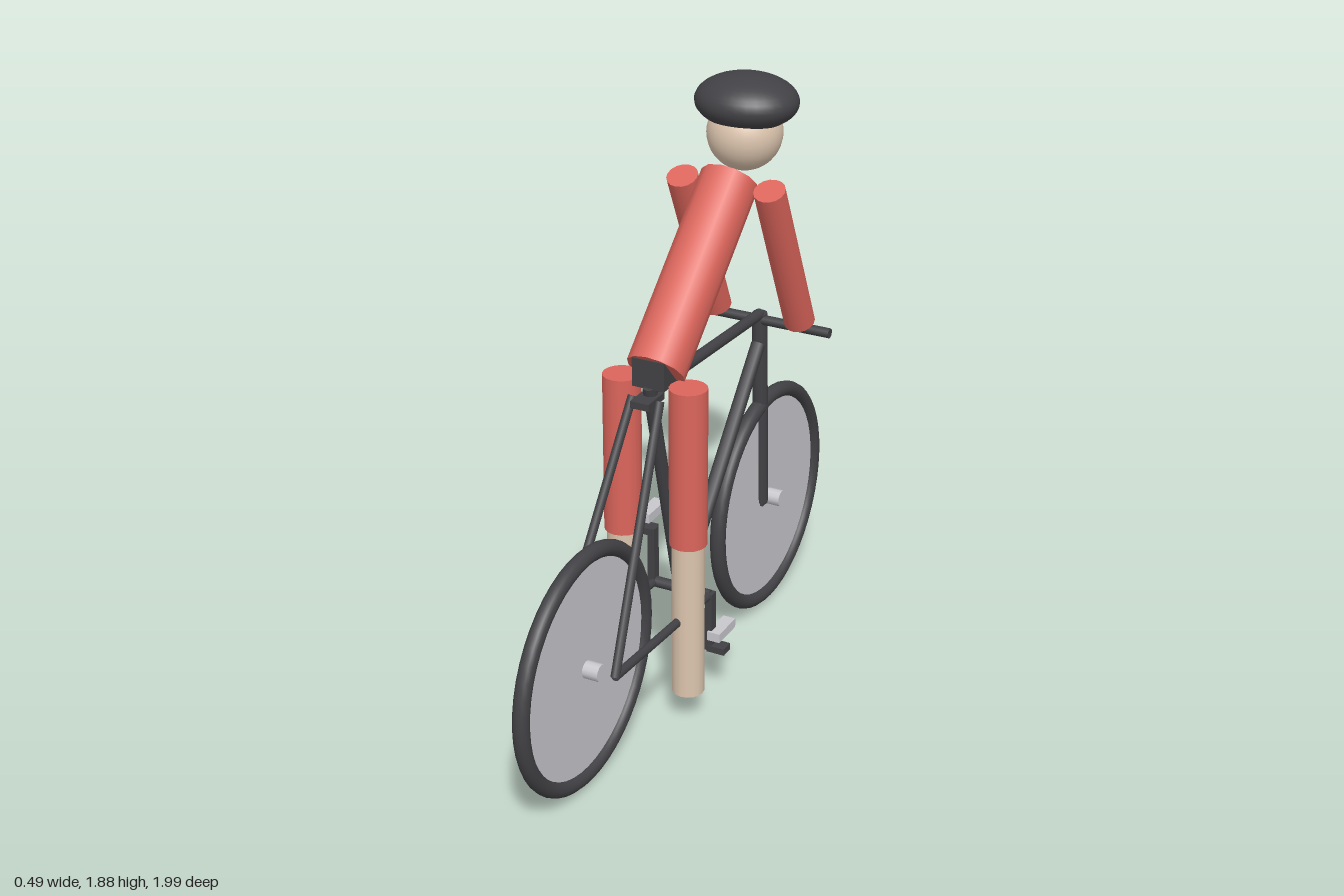
import * as THREE from 'three';

export function createModel() {
  const model = new THREE.Group();
  model.name = 'cyclist';

  const mat = (name, color) => {
    const m = new THREE.MeshStandardMaterial({ color });
    m.name = name;
    return m;
  };
  const dark = mat('dark grey', 0x424246);
  const silver = mat('light grey', 0xc8c7cc);
  const red = mat('jersey red', 0xdb655b);
  const skin = mat('skin', 0xdcc5ae);

  const add = (name, geometry, material, x = 0, y = 0, z = 0) => {
    const mesh = new THREE.Mesh(geometry, material);
    mesh.name = name;
    mesh.position.set(x, y, z);
    model.add(mesh);
    return mesh;
  };
  const box = (name, material, w, h, d, x, y, z) =>
    add(name, new THREE.BoxGeometry(w, h, d), material, x, y, z);

  // Straight rod between two [x, y, z] points
  const rod = (name, material, a, b, r, sides = 10) => {
    const from = new THREE.Vector3(...a);
    const dir = new THREE.Vector3(...b).sub(from);
    const mesh = add(name, new THREE.CylinderGeometry(r, r, dir.length(), sides), material);
    mesh.position.copy(from).addScaledVector(dir, 0.5);
    mesh.quaternion.setFromUnitVectors(new THREE.Vector3(0, 1, 0), dir.normalize());
    return mesh;
  };

  // Wheels: tyre, solid disc and hub
  for (const [end, z] of [['front', -0.61], ['rear', 0.61]]) {
    add(end + 'Tyre', new THREE.TorusGeometry(0.36, 0.025, 12, 48), dark, 0, 0.387, z).rotation.y = Math.PI / 2;
    add(end + 'Disc', new THREE.CylinderGeometry(0.35, 0.35, 0.01, 48), silver, 0, 0.387, z).rotation.z = Math.PI / 2;
    rod(end + 'Hub', silver, [-0.055, 0.387, z], [0.055, 0.387, z], 0.027, 12);
  }

  // Frame
  rod('seatTube', dark, [0, 0.345, 0.01], [0, 1.12, 0.205], 0.021);
  rod('topTube', dark, [0, 1.105, 0.2], [0, 1.066, -0.535], 0.018);
  rod('downTube', dark, [0, 0.345, 0], [0, 0.965, -0.528], 0.023);
  rod('fork', dark, [0, 1.07, -0.535], [0, 0.39, -0.563], 0.025);
  box('forkEnd', dark, 0.03, 0.024, 0.04, 0, 0.387, -0.57);
  rod('handlebar', dark, [-0.245, 1.05, -0.53], [0.245, 1.05, -0.53], 0.016);
  box('saddle', dark, 0.105, 0.09, 0.11, 0, 1.16, 0.158);
  box('saddleClamp', dark, 0.06, 0.022, 0.1, 0, 1.082, 0.217);

  // Pedals: the right crank points up, the left one down
  rod('crankAxle', dark, [-0.1, 0.345, 0], [0.1, 0.345, 0], 0.018);

  for (const s of [-1, 1]) {
    const side = s > 0 ? 'left' : 'right';
    rod(side + 'SeatStay', dark, [s * 0.045, 1.09, 0.225], [s * 0.1, 0.385, 0.61], 0.014);
    rod(side + 'ChainStay', dark, [s * 0.1, 0.388, 0.61], [s * 0.095, 0.345, 0], 0.014);

    const crankY = 0.345 - s * 0.18;
    box(side + 'Crank', dark, 0.024, 0.2, 0.03, s * 0.1, (0.345 + crankY) / 2, 0);
    box(side + 'PedalArm', dark, 0.06, 0.022, 0.045, s * 0.126, crankY - 0.002, -0.005);
    box(side + 'Pedal', silver, 0.042, 0.03, 0.112, s * 0.122, crankY + 0.047, -0.033);

    // Limbs
    rod(side + 'Thigh', red, [s * 0.11, 0.615, 0.17], [s * 0.11, 1.125, 0.17], 0.058, 16);
    rod(side + 'Shin', skin, [s * 0.11, 0.103, 0.17], [s * 0.11, 0.62, 0.17], 0.05, 16);
    rod(side + 'Arm', red, [s * 0.145, 1.077, -0.519], [s * 0.145, 1.585, -0.283], 0.049, 16);
  }

  // Torso, head and helmet
  rod('torso', red, [0, 1.155, 0.164], [0, 1.588, -0.311], 0.09, 12);
  add('head', new THREE.SphereGeometry(0.116, 28, 20), skin, 0, 1.707, -0.412);
  add('helmet', new THREE.SphereGeometry(1, 32, 20), dark, 0, 1.803, -0.423).scale.set(0.162, 0.082, 0.144);

  return model;
}
